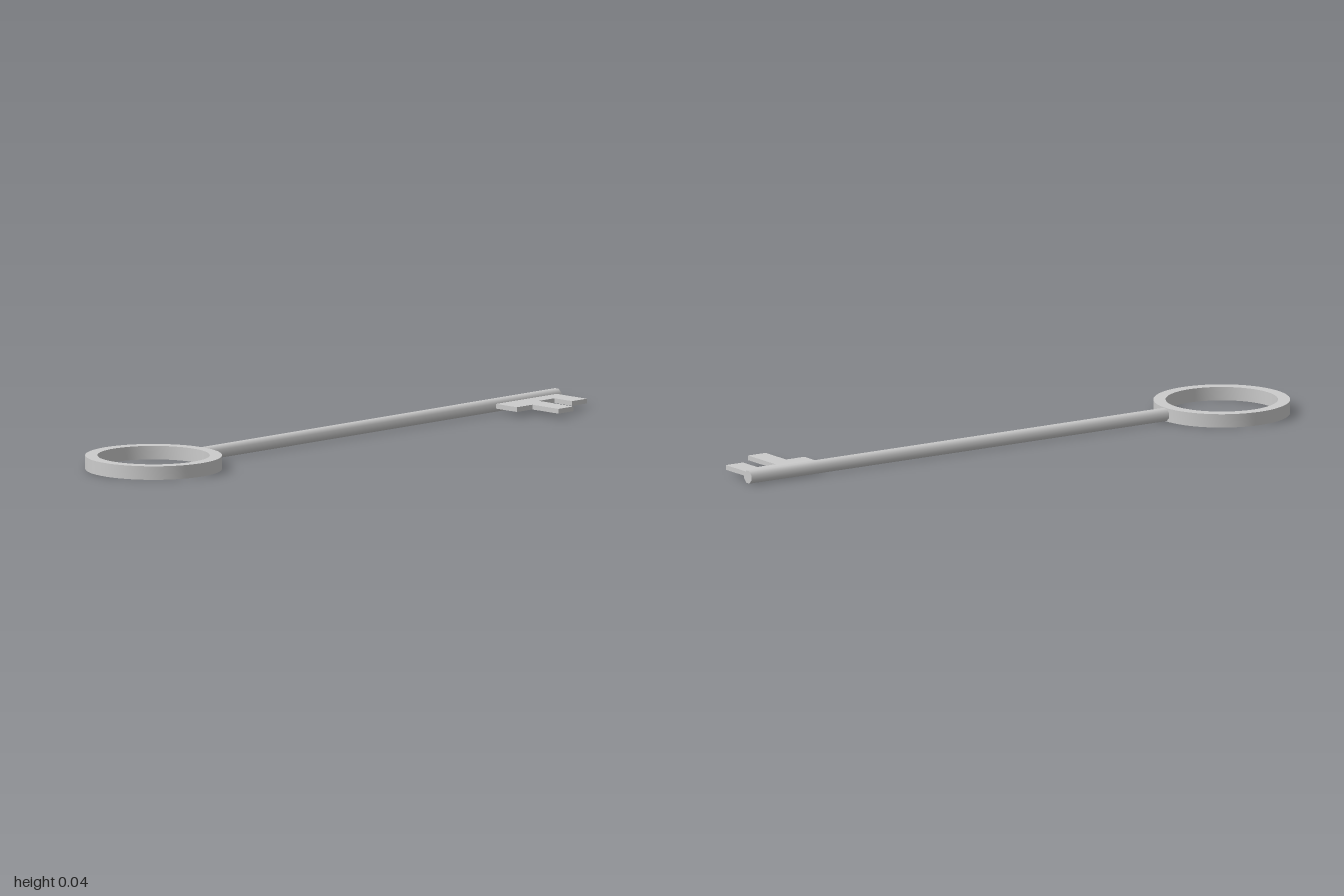
import * as THREE from 'three';
import { toCreasedNormals } from 'three/addons/utils/BufferGeometryUtils.js';

const MID_Y = 0.0213; // height of the key's middle plane
const AXIS_Z = -0.004; // shaft axis

// Flat plate drawn in x/z and centred on the middle plane
function plate(shape, thickness) {
  const geometry = new THREE.ExtrudeGeometry(shape, {
    depth: thickness, bevelEnabled: false, curveSegments: 32,
  });
  geometry.rotateX(Math.PI / 2);
  geometry.translate(0, MID_Y + thickness / 2, 0);
  return toCreasedNormals(geometry, 0.6);
}

export function createModel() {
  const key = new THREE.Group();
  key.name = 'key';
  const material = new THREE.MeshStandardMaterial({ color: 0xcccccc });
  const add = (name, geometry) => {
    const mesh = new THREE.Mesh(geometry, material);
    mesh.name = name;
    key.add(mesh);
  };

  // Ring-shaped handle
  const ring = new THREE.Shape().absarc(-0.787, -0.005, 0.213, 0, Math.PI * 2);
  ring.holes.push(new THREE.Path().absarc(-0.787, -0.005, 0.175, 0, Math.PI * 2, true));
  add('bow', plate(ring, MID_Y * 2));

  // Eight-sided shaft with flats at top and bottom, running into the ring
  const start = -0.59, end = 1;
  const shaft = new THREE.CylinderGeometry(0.0213, 0.0213, end - start, 8, 1, false, Math.PI / 8);
  shaft.rotateZ(-Math.PI / 2);
  shaft.translate((start + end) / 2, MID_Y, AXIS_Z);
  add('shaft', shaft);

  // Toothed bit on the front side
  const outline = [
    [0.711, AXIS_Z], [0.979, AXIS_Z], [0.979, 0.148], [0.914, 0.148], [0.914, 0.07],
    [0.845, 0.07], [0.845, 0.221], [0.779, 0.221], [0.779, 0.107], [0.711, 0.107],
  ];
  add('bit', plate(new THREE.Shape(outline.map(([x, z]) => new THREE.Vector2(x, z))), 0.015));

  return key;
}
